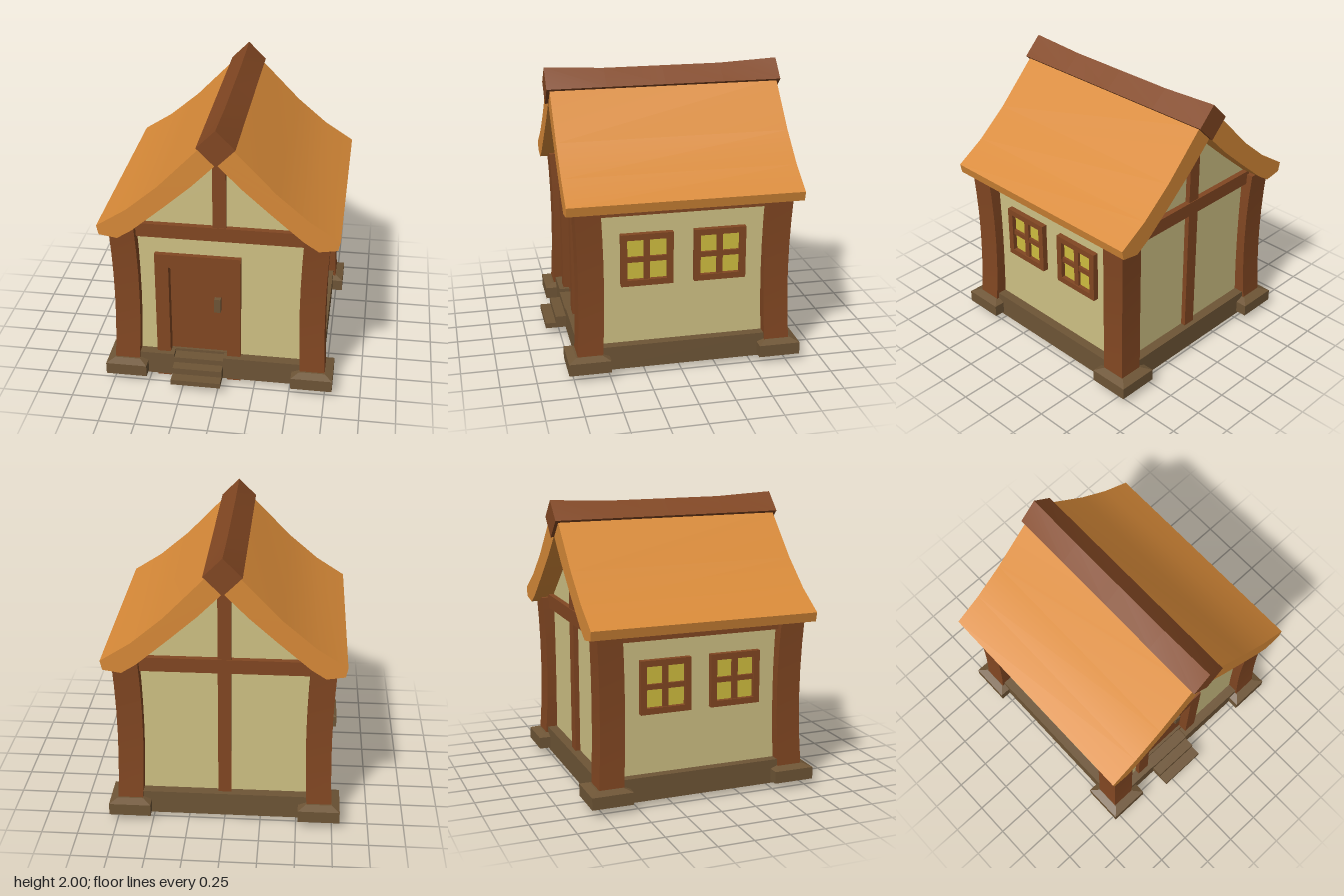
import * as THREE from 'three';
import { toCreasedNormals } from 'three/addons/utils/BufferGeometryUtils.js';

const mat = (name, color) => {
  const m = new THREE.MeshStandardMaterial({ color });
  m.name = name;
  return m;
};

export function createModel() {
  const orange = mat('roof orange', 0xd88a38);
  const brown = mat('timber brown', 0x824722);
  const cream = mat('plaster cream', 0xcfc184);
  const stone = mat('stone brown', 0x6e5536);
  const yellow = mat('window yellow', 0xd0be3f);

  const house = new THREE.Group();
  house.name = 'house';
  const body = new THREE.Group();
  body.name = 'houseBody';
  body.position.z = -0.025;
  house.add(body);

  const add = (name, geometry, material, parent = body) => {
    const mesh = new THREE.Mesh(geometry, material);
    mesh.name = name;
    parent.add(mesh);
    return mesh;
  };
  // Box given by its limits on each axis
  const box = (name, material, [x0, x1], [y0, y1], [z0, z1], parent = body) => {
    const mesh = add(name, new THREE.BoxGeometry(x1 - x0, y1 - y0, z1 - z0), material, parent);
    mesh.position.set((x0 + x1) / 2, (y0 + y1) / 2, (z0 + z1) / 2);
    return mesh;
  };
  const mirrored = (half) => [...half, ...half.slice(0, -1).reverse().map(([x, y]) => [-x, y])];
  const toShape = (pts) => new THREE.Shape(pts.map(([x, y]) => new THREE.Vector2(x, y)));

  // Gable walls, the front one with a door opening
  const gable = [[0.66, 0.037], [0.66, 1.22], [0.575, 1.26], [0.35, 1.47], [0.164, 1.63], [0, 1.8]];
  for (const side of [1, -1]) {
    const shape = toShape(mirrored(gable));
    if (side > 0) {
      const hole = [[-0.36, 0.1], [-0.36, 0.95], [0.06, 0.95], [0.06, 0.1]];
      shape.holes.push(new THREE.Path(hole.map(([x, y]) => new THREE.Vector2(x, y))));
    }
    const wall = add(side > 0 ? 'frontWall' : 'backWall',
      new THREE.ExtrudeGeometry(shape, { depth: 0.02, bevelEnabled: false }), cream);
    wall.position.z = side > 0 ? 0.64 : -0.66;
  }

  // Curved roof slab
  const outer = [[0, 1.955], [0.1, 1.87], [0.39, 1.57], [0.605, 1.387], [0.81, 1.255], [0.796, 1.19], [0.672, 1.17]];
  const inner = [[0.572, 1.235], [0.35, 1.425], [0.164, 1.59], [0, 1.755]];
  const rightHalf = [...outer, ...inner];
  const leftHalf = rightHalf.slice(1, -1).reverse().map(([x, y]) => [-x, y]);
  const roof = add('roof', toCreasedNormals(
    new THREE.ExtrudeGeometry(toShape([...rightHalf, ...leftHalf]), { depth: 1.61, bevelEnabled: false }), 0.4), orange);
  roof.position.z = -0.805;

  // Ridge beam with a sagging top edge
  const ridgeGeo = new THREE.CylinderGeometry(0.127, 0.127, 1.656, 4, 4);
  ridgeGeo.rotateX(-Math.PI / 2);
  const rp = ridgeGeo.attributes.position;
  for (let i = 0; i < rp.count; i++) {
    if (rp.getY(i) > 0.1 && Math.abs(rp.getZ(i)) < 0.5) rp.setY(i, rp.getY(i) - 0.02);
  }
  add('ridgeBeam', toCreasedNormals(ridgeGeo, 0.4), brown).position.y = 1.873;

  // Corner posts bowing inward, each on a stone foot
  for (const sx of [1, -1]) {
    for (const sz of [1, -1]) {
      const postGeo = new THREE.BoxGeometry(0.174, 1.07, 0.174, 1, 6, 1);
      const p = postGeo.attributes.position;
      for (let i = 0; i < p.count; i++) {
        const t = p.getY(i) / 0.535;
        const c = 0.659 - 0.017 * (1 - t * t);
        p.setX(i, p.getX(i) + sx * c);
        p.setZ(i, p.getZ(i) + sz * c);
      }
      postGeo.computeVertexNormals();
      add('cornerPost', postGeo, brown).position.y = 0.675;

      const foot = new THREE.Group();
      foot.name = 'cornerFoot';
      foot.position.set(sx * 0.657, 0, sz * 0.667);
      body.add(foot);
      box('footBlock', stone, [-0.145, 0.145], [0.055, 0.14], [-0.145, 0.145], foot);
      const cap = new THREE.CylinderGeometry(0.09 * Math.SQRT2, 0.145 * Math.SQRT2, 0.022, 4);
      cap.rotateY(Math.PI / 4);
      add('footBevel', toCreasedNormals(cap, 0.3), stone, foot).position.y = 0.151;
    }
  }

  // Side walls, side beams and windows
  const window4 = (parent) => {
    box('windowPane', yellow, [-0.15, 0.15], [-0.155, 0.155], [0.001, 0.009], parent);
    for (const s of [-1, 1]) {
      const span = (a, b) => (s > 0 ? [a, b] : [-b, -a]);
      box('windowFrame', brown, span(0.137, 0.18), [-0.185, 0.185], [0, 0.04], parent);
      box('windowFrame', brown, [-0.137, 0.137], span(0.143, 0.185), [0, 0.04], parent);
    }
    box('windowBar', brown, [-0.02, 0.02], [-0.143, 0.143], [0, 0.03], parent);
    box('windowBar', brown, [-0.137, 0.137], [-0.018, 0.018], [0, 0.028], parent);
  };
  for (const s of [1, -1]) {
    const side = new THREE.Group();
    side.name = s > 0 ? 'leftSide' : 'rightSide';
    side.rotation.y = s * Math.PI / 2;
    body.add(side);
    box('sideWall', cream, [-0.64, 0.64], [0.037, 1.22], [0.64, 0.66], side);
    box('sideBeam', brown, [-0.58, 0.58], [1.135, 1.225], [0.64, 0.7], side);
    for (const x of [-0.2525, 0.2525]) {
      const win = new THREE.Group();
      win.name = 'window';
      win.position.set(x, 0.815, 0.66);
      side.add(win);
      window4(win);
    }
  }

  // Gable timbers
  box('frontBeam', brown, [-0.59, 0.59], [1.135, 1.235], [0.63, 0.7]);
  box('backBeam', brown, [-0.59, 0.59], [1.135, 1.235], [-0.7, -0.63]);
  box('frontKingPost', brown, [-0.045, 0.045], [1.235, 1.8], [0.63, 0.695]);
  box('backKingPost', brown, [-0.045, 0.045], [0.2, 1.8], [-0.695, -0.63]);

  // Stone base ring, lower under the door
  const baseY = [0.035, 0.205];
  box('baseFront', stone, [-0.725, -0.325], baseY, [0.655, 0.73]);
  box('baseFront', stone, [0.025, 0.725], baseY, [0.655, 0.73]);
  box('doorSill', stone, [-0.325, 0.025], [0.035, 0.18], [0.6, 0.73]);
  box('baseBack', stone, [-0.725, 0.725], baseY, [-0.73, -0.655]);
  box('baseLeft', stone, [0.655, 0.725], baseY, [-0.655, 0.655]);
  box('baseRight', stone, [-0.725, -0.655], baseY, [-0.655, 0.655]);
  // Inner ledge
  for (const s of [-1, 1]) {
    const span = s > 0 ? [0.57, 0.645] : [-0.645, -0.57];
    box('innerLedge', stone, span, [0.16, 0.2], [-0.645, 0.645]);
    box('innerLedge', stone, [-0.57, 0.57], [0.16, 0.2], span);
  }

  // Door with frame, handle and steps
  box('doorJamb', brown, [-0.45, -0.355], [0, 1], [0.62, 0.695]);
  box('doorJamb', brown, [0.05, 0.145], [0, 1], [0.62, 0.695]);
  box('doorLintel', brown, [-0.355, 0.05], [0.9, 1], [0.62, 0.695]);
  box('door', brown, [-0.36, 0.055], [0.1, 0.93], [0.595, 0.625]);
  box('doorHandle', stone, [-0.045, 0], [0.54, 0.645], [0.625, 0.66]);
  box('upperStep', stone, [-0.325, 0.025], [0.055, 0.14], [0.7, 0.805]);
  box('lowerStep', stone, [-0.325, 0.025], [0.055, 0.093], [0.7, 0.88]);

  return house;
}
